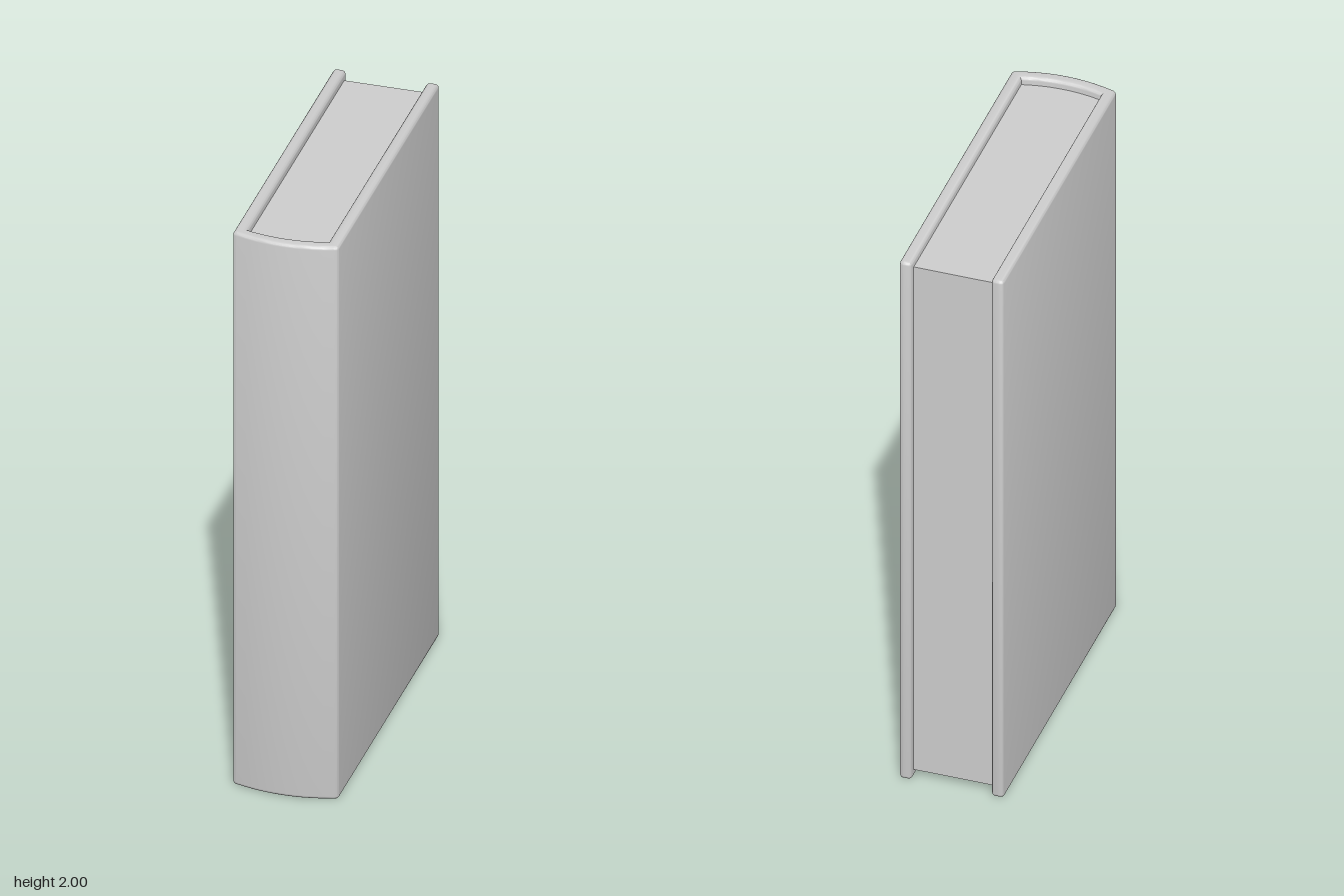
import * as THREE from 'three';
import { toCreasedNormals } from 'three/addons/utils/BufferGeometryUtils.js';

const HEIGHT = 2;
const HALF = 0.174;   // half width of the closed book
const INNER = 0.133;  // half width of the page block
const BACK = -0.567;  // open edge of the boards
const ROUND = 0.015;  // rounding of the board edges
const BEVEL = 0.012;  // rounding at top and bottom

const material = new THREE.MeshStandardMaterial({ color: 0xcccccc });

// Extrude a plan drawn in x and z upward from y0 to y1
function extrudePlan(name, shape, y0, y1, bevel) {
  const geometry = new THREE.ExtrudeGeometry(shape, {
    depth: y1 - y0 - 2 * bevel,
    bevelEnabled: bevel > 0,
    bevelThickness: bevel,
    bevelSize: bevel,
    bevelOffset: -bevel,
    bevelSegments: 4,
    curveSegments: 10,
  });
  geometry.rotateX(Math.PI / 2);
  geometry.translate(0, y1 - bevel, 0);
  const mesh = new THREE.Mesh(toCreasedNormals(geometry, 0.6), material);
  mesh.name = name;
  return mesh;
}

// U-shaped case: two boards joined by a gently curved spine
function coverPlan() {
  const s = new THREE.Shape();
  const r = ROUND;
  s.moveTo(-HALF, BACK + r);
  s.quadraticCurveTo(-HALF, BACK, -HALF + r, BACK);
  s.lineTo(-INNER - r, BACK);
  s.quadraticCurveTo(-INNER, BACK, -INNER, BACK + r);
  s.lineTo(-INNER, 0.505);
  s.quadraticCurveTo(0, 0.541, INNER, 0.505);
  s.lineTo(INNER, BACK + r);
  s.quadraticCurveTo(INNER, BACK, INNER + r, BACK);
  s.lineTo(HALF - r, BACK);
  s.quadraticCurveTo(HALF, BACK, HALF, BACK + r);
  s.lineTo(HALF, 0.526);
  s.quadraticCurveTo(HALF, 0.538, HALF - r, 0.541);
  s.quadraticCurveTo(0, 0.591, -HALF + r, 0.541);
  s.quadraticCurveTo(-HALF, 0.538, -HALF, 0.526);
  s.closePath();
  return s;
}

// Page block, its front edge following the inside of the spine
function pagesPlan() {
  const s = new THREE.Shape();
  const w = INNER + 0.002;
  s.moveTo(-w, -0.543);
  s.lineTo(w, -0.543);
  s.lineTo(w, 0.507);
  s.quadraticCurveTo(0, 0.543, -w, 0.507);
  s.closePath();
  return s;
}

export function createModel() {
  const book = new THREE.Group();
  book.name = 'book';
  book.add(
    extrudePlan('cover', coverPlan(), 0, HEIGHT, BEVEL),
    extrudePlan('pages', pagesPlan(), 0.027, HEIGHT - 0.027, 0),
  );
  return book;
}
